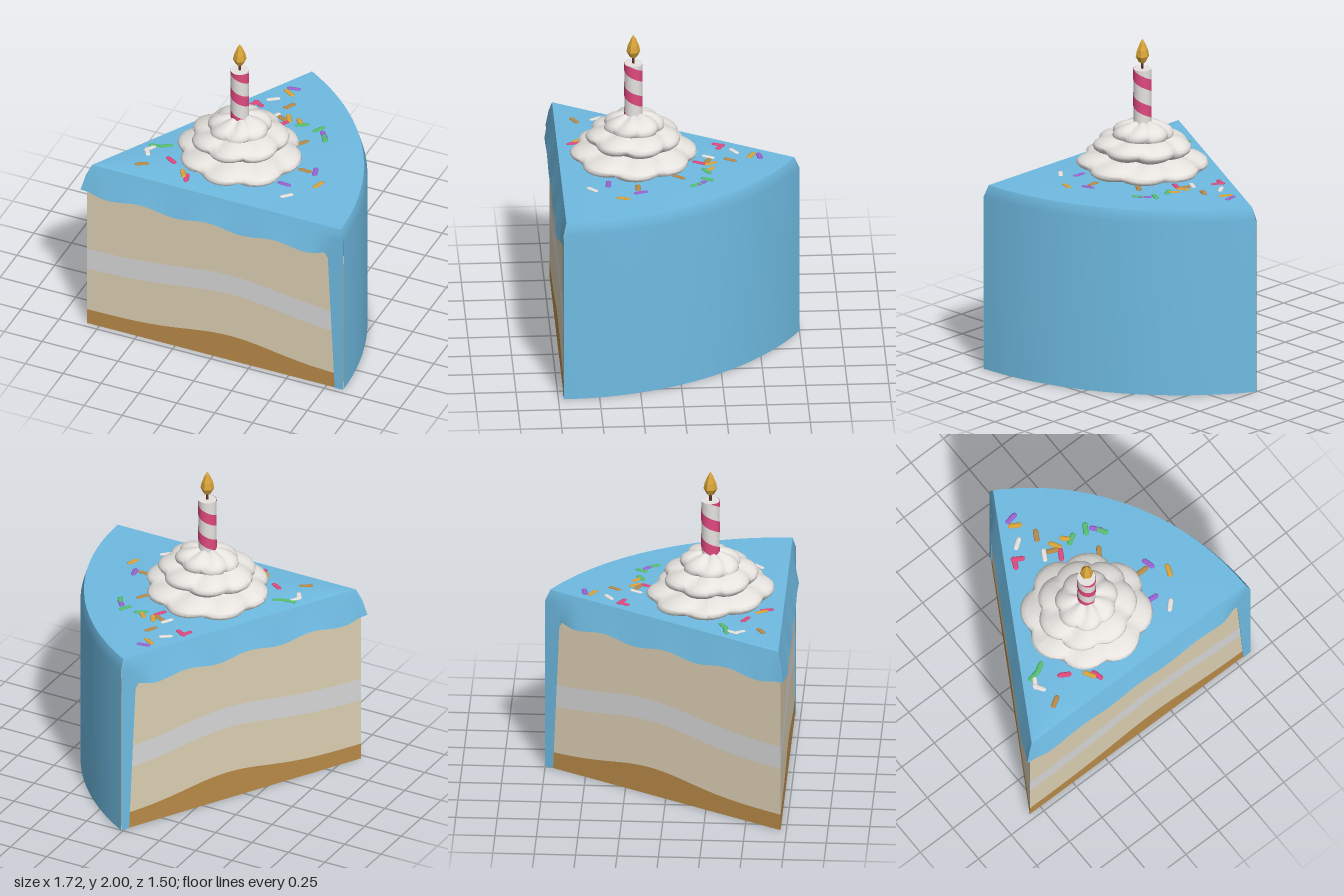
import * as THREE from 'three';

const mat = (name, color) => {
  const m = new THREE.MeshStandardMaterial({ color, side: THREE.DoubleSide });
  m.name = name;
  return m;
};

const TIP = [-0.83, 0.715], R = 1.69, SPREAD = Math.PI / 3;
const INSET = 0.03, TOP_R = 1.639, TOP_Y = 1.172;
const tipTop = [TIP[0] + INSET * Math.cos(SPREAD / 2), TIP[1] - INSET * Math.sin(SPREAD / 2)];

// Grid surface over (i, j); the face looks along di x dj unless flipped
function sheet(fn, nu, nv, flip = false) {
  const pos = [], idx = [];
  for (let i = 0; i <= nu; i++) for (let j = 0; j <= nv; j++) pos.push(...fn(i / nu, j / nv, i, j));
  for (let i = 0; i < nu; i++) for (let j = 0; j < nv; j++) {
    const a = i * (nv + 1) + j, d = a + 1, b = a + nv + 1, c = b + 1;
    idx.push(...(flip ? [a, c, b, a, d, c] : [a, b, c, a, c, d]));
  }
  const g = new THREE.BufferGeometry();
  g.setAttribute('position', new THREE.Float32BufferAttribute(pos, 3));
  g.setIndex(idx);
  g.computeVertexNormals();
  return g;
}

// Point on a cut side: s along it from the tip, d outward; the other side is its mirror image
function cutPoint(s, y, d, mirrored) {
  const h = Math.sqrt(3) / 2;
  return mirrored
    ? [TIP[0] + 0.5 * s - h * d, y, TIP[1] - h * s - 0.5 * d]
    : [TIP[0] + s, y, TIP[1] + d];
}

const polar = (c, r, a, y) => [c[0] + r * Math.cos(a), y, c[1] - r * Math.sin(a)];
const dome = (t, k) => TOP_Y + 0.018 * Math.sin(Math.PI * t) * Math.sin(Math.PI * k);
const hump = (s, base, h, w) => base + h * Math.exp(-(((s - 0.94) / w) ** 2));
const smooth = THREE.MathUtils.smoothstep;

export function createModel() {
  const root = new THREE.Group();
  root.name = 'cakeSlice';
  const M = {
    icing: mat('blueIcing', 0x6fbbe2),
    sponge: mat('sponge', 0xdccfb3),
    filling: mat('filling', 0xd7d7d7),
    crust: mat('crustBrown', 0xb98a48),
    cream: mat('creamWhite', 0xe6e3df),
    pink: mat('pink', 0xe0497f),
    gold: mat('gold', 0xdaa53a),
    green: mat('green', 0x55c070),
    purple: mat('purple', 0x9a63d2),
    wick: mat('wickBrown', 0x5a3530),
  };
  const add = (name, geo, material, parent = root) => {
    const m = new THREE.Mesh(geo, material);
    m.name = name;
    parent.add(m);
    return m;
  };

  // Layered cut sides with overhanging icing
  const layers = [
    ['crustLayer', M.crust, () => 0, s => hump(s, 0.102, 0.078, 0.4)],
    ['lowerSponge', M.sponge, s => hump(s, 0.102, 0.078, 0.4), s => hump(s, 0.405, 0.085, 0.45)],
    ['fillingLayer', M.filling, s => hump(s, 0.405, 0.085, 0.45), s => hump(s, 0.552, 0.078, 0.45)],
    ['upperSponge', M.sponge, s => hump(s, 0.552, 0.078, 0.45), () => 1.06],
  ];
  const cols = Array.from({ length: 61 }, (_, i) => i * 1.57 / 60).concat([1.59, 1.635, 1.66, R]);
  const hem = s => s > 1.6 ? 0 : s > 1.58 ? 0.95 : 0.988 + 0.014 * Math.cos(2 * Math.PI * (s - 0.37) / 0.44);
  const flare = s => s > 1.58 ? 0.004
    : 0.02 + 0.015 * smooth(s, 0, 0.12) - 0.029 * smooth(s, 1.44, 1.58);
  const mitre = (s, d, i) => i === 0 ? -d * Math.sqrt(3) : s;
  for (const mirrored of [false, true]) {
    const side = new THREE.Group();
    side.name = mirrored ? 'backCutSide' : 'frontCutSide';
    root.add(side);
    for (const [name, m, lo, hi] of layers) {
      add(name, sheet((u, v) => {
        const s = u * (R - 0.005);
        return cutPoint(s, v ? hi(s) : lo(s), 0, mirrored);
      }, 48, 1, mirrored), m, side);
    }
    add('icingOverhang', sheet((u, v, i, j) => {
      const s = cols[i];
      const d = [flare(s), 0.004, -0.015][j];
      const y = [hem(s), 1.1, TOP_Y][j];
      const along = j === 2 ? Math.min(Math.max(s, 0.026), 1.665) : mitre(s, d, i);
      return cutPoint(along, y, d, mirrored);
    }, cols.length - 1, 2, mirrored), M.icing, side);
    add('icingLip', sheet((u, v, i, j) => {
      const s = cols[i], d = j ? flare(s) : -0.002;
      return cutPoint(mitre(s, d, i), hem(s), d, mirrored);
    }, cols.length - 1, 1, mirrored), M.icing, side);
  }

  // Curved outer icing, domed top and underside
  add('icingWall', sheet((u, v, i, j) => j < 2
    ? polar(TIP, R, u * SPREAD, j ? 1.1 : 0)
    : polar(tipTop, TOP_R, u * SPREAD, TOP_Y), 40, 2), M.icing);
  add('icingTop', sheet((u, v) => polar(tipTop, u * TOP_R, v * SPREAD, dome(u, v)), 12, 40), M.icing);
  add('crustUnderside', sheet((u, v) => polar(TIP, u * 1.66, v * SPREAD, 0), 1, 40, true), M.crust);
  add('spongeRim', sheet((u, v) => polar(TIP, 1.66 + u * 0.03, v * SPREAD, 0), 1, 40, true), M.sponge);

  // Whipped cream in three lobed, twisted tiers
  const topping = new THREE.Group();
  topping.name = 'topping';
  topping.position.set(-0.03, 0, 0.25);
  root.add(topping);
  [[0.385, 0.085, 1.215, 8, 0.3], [0.295, 0.085, 1.325, 7, 1.1], [0.19, 0.085, 1.4, 7, 2]]
    .forEach(([r, h, y0, lobes, phase], k) => {
      const g = new THREE.SphereGeometry(1, 64, 14);
      const p = g.attributes.position;
      for (let i = 0; i < p.count; i++) {
        const x = p.getX(i), y = p.getY(i), z = p.getZ(i);
        const a = Math.atan2(z, x);
        const lobe = Math.abs(Math.cos((a * lobes) / 2 + phase + y * 0.9));
        const f = r * (0.84 + 0.17 * Math.sqrt(lobe)) * (1 + 0.03 * Math.sin(2 * a + phase));
        const lift = 0.012 * Math.sin(a + phase) * Math.hypot(x, z);
        p.setXYZ(i, x * f, y0 + y * h * (0.85 + 0.15 * lobe) + lift, z * f);
      }
      g.computeVertexNormals();
      add('creamTier' + (k + 1), g, M.cream, topping);
    });

  // Candle with a spiral stripe, wick and faceted flame
  add('candle', new THREE.CylinderGeometry(0.055, 0.055, 0.4, 24), M.cream, topping).position.y = 1.61;
  add('candleStripe', sheet((u, v) => {
    const t = -8 + u * 15.6;
    const y = THREE.MathUtils.clamp(1.635 - 0.17 * t / (2 * Math.PI) + (v - 0.5) * 0.072, 1.42, 1.81);
    return [0.0565 * Math.sin(t), y, 0.0565 * Math.cos(t)];
  }, 100, 1), M.pink, topping);
  add('wick', new THREE.CylinderGeometry(0.008, 0.008, 0.06, 8), M.wick, topping).position.y = 1.835;
  const flame = new THREE.LatheGeometry(
    [[0, 1.84], [0.022, 1.853], [0.042, 1.89], [0.034, 1.93], [0.015, 1.975], [0, 2]]
      .map(q => new THREE.Vector2(...q)), 6).toNonIndexed();
  flame.computeVertexNormals();
  add('flame', flame, M.gold, topping);

  // Sprinkles: x, z, turn in degrees
  const sprinkles = {
    purple: [[-0.01, -0.51, 10], [0.35, -0.14, -50], [0.46, 0.23, -75], [0.34, 0.42, -5]],
    gold: [[-0.02, -0.46, -30], [0.09, -0.21, -60], [0.17, -0.2, -45], [0.53, 0.34, 70], [-0.26, 0.57, -60]],
    cream: [[-0.08, -0.36, 35], [0, -0.2, 60], [0.4, 0.52, 45], [-0.55, 0.41, 60], [-0.55, 0.45, -60]],
    crust: [[0.04, -0.33, 60], [0.06, -0.19, -25], [0.27, -0.01, 55], [0.4, 0.245, 0], [-0.53, 0.58, 30]],
    pink: [[-0.17, -0.27, 65], [-0.14, -0.28, -30], [0.08, -0.14, 60], [-0.38, 0.48, -30], [-0.225, 0.6, -75]],
    green: [[0.19, -0.18, 30], [0.3, -0.18, 60], [0.37, -0.11, -60], [-0.53, 0.37, 10], [-0.47, 0.35, 30]],
  };
  const grain = new THREE.CapsuleGeometry(0.016, 0.056, 3, 8).rotateZ(Math.PI / 2).scale(1, 0.3, 1);
  for (const [colour, list] of Object.entries(sprinkles)) {
    for (const [x, z, deg] of list) {
      const dx = x - tipTop[0], dz = tipTop[1] - z;
      const s = add('sprinkle', grain, M[colour]);
      s.position.set(x, dome(Math.hypot(dx, dz) / TOP_R, Math.atan2(dz, dx) / SPREAD) + 0.001, z);
      s.rotation.y = THREE.MathUtils.degToRad(deg);
    }
  }
  return root;
}
